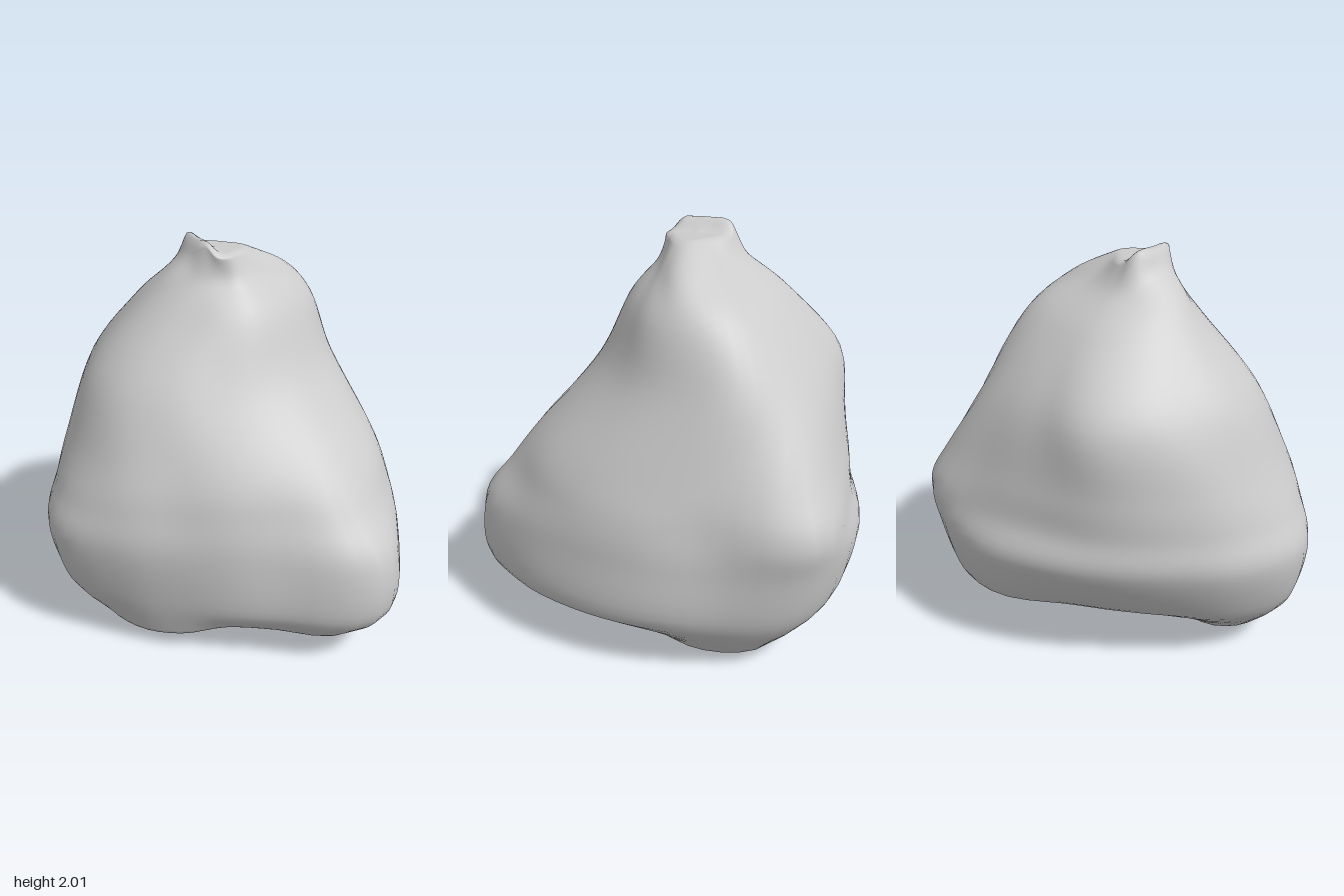
import * as THREE from 'three';

// Each level: [height, centre x, centre z] and 16 radii, turning from +x towards +z
const LEVELS = [
  [0.14, 0, 0], [0.3, 0, 0], [0.6, 0, 0], [0.8, 0, 0], [1.0, 0, -0.03],
  [1.35, 0.03, -0.18], [1.66, 0.06, -0.16], [1.82, 0.04, -0.1], [1.93, 0.01, -0.08],
];
const RADII = [
  [.72, .75, .83, .88, .66, .59, .60, .65, .68, .62, .52, .48, .52, .70, .87, .78],
  [.91, .92, .98, 1.04, .78, .67, .65, .73, .86, .78, .68, .66, .73, .95, 1.05, .95],
  [.91, .91, .96, 1.03, .77, .68, .68, .79, .93, .90, .84, .85, .92, 1.05, 1.13, .96],
  [.88, .87, .88, .88, .71, .65, .65, .76, .86, .86, .83, .84, .88, 1.00, 1.16, .93],
  [.81, .80, .80, .75, .65, .61, .62, .71, .77, .79, .79, .81, .83, .91, 1.03, .87],
  [.65, .63, .60, .58, .56, .56, .61, .66, .66, .63, .64, .65, .60, .62, .67, .69],
  [.50, .47, .41, .39, .39, .38, .38, .41, .44, .43, .42, .41, .38, .38, .42, .49],
  [.36, .28, .22, .20, .20, .19, .20, .23, .28, .28, .27, .25, .22, .21, .23, .31],
  [.17, .16, .14, .13, .15, .15, .13, .13, .13, .14, .16, .17, .16, .14, .13, .14],
];
// Height of the bottom rim at the same 16 directions
const RIM = [.15, .18, .17, .13, .15, .16, .10, .08, .09, .14, .26, .33, .34, .22, .08, .05];
const SIDES = 64, STEPS = 6;
const { smoothstep } = THREE.MathUtils;

// Catmull-Rom blend of four neighbouring values
const blend = (a, b, c, d, t) =>
  b + 0.5 * t * (c - a + t * (2 * a - 5 * b + 4 * c - d + t * (3 * (b - c) + d - a)));

// Smooth value along an open list
function along(get, n, t) {
  const i = Math.min(Math.floor(t), n - 2);
  const at = (k) => get(Math.max(0, Math.min(n - 1, k)));
  return blend(at(i - 1), at(i), at(i + 1), at(i + 2), t - i);
}

// Smooth value around a closed list of 16
function around(list, s) {
  const i = Math.floor(s);
  const at = (k) => list[(k + 16) % 16];
  return blend(at(i - 1), at(i), at(i + 1), at(i + 2), s - i);
}

// Thin fold that stands up beside the gathered top
const fold = (x, z) =>
  0.06 * Math.exp(-(((x + 0.08) / 0.045) ** 2)) * (1 - smoothstep(z, 0, 0.08));

// A ring of points on the body at level t
function bodyRing(t) {
  const n = LEVELS.length;
  const [cx, cz] = [1, 2].map((c) => along((k) => LEVELS[k][c], n, t));
  return Array.from({ length: SIDES }, (_, j) => {
    const s = (j / SIDES) * 16, a = (j / SIDES) * Math.PI * 2;
    const r = along((k) => around(RADII[k], s), n, t);
    const y = along((k) => (k === 0 ? around(RIM, s) : LEVELS[k][0]), n, t);
    const x = cx + r * Math.cos(a), z = cz + r * Math.sin(a);
    return [x, y + fold(x, z) * smoothstep(y, 1.82, 1.93), z];
  });
}

// Underside: a hollow at the back, an arch at the front left, two low feet
const bump = (x, z, cx, cz, w) => Math.exp(-((x - cx) ** 2 + (z - cz) ** 2) / (w * w));
const floorHeight = (x, z) => 0.1
  + 0.25 * bump(x, z, -0.1, -0.5, 0.38) + 0.09 * bump(x, z, 0.35, 0.35, 0.35)
  - 0.16 * bump(x, z, 0.56, -0.3, 0.3) - 0.05 * bump(x, z, -0.43, 0.2, 0.28);

function bodyGeometry() {
  const rings = [];
  const rim = bodyRing(0);
  // underside, from its middle out to the rim
  for (let i = 0; i < 10; i++) {
    const f = i / 10, mix = f ** 3;
    rings.push(rim.map(([x, y, z]) =>
      [x * f, floorHeight(x * f, z * f) * (1 - mix) + y * mix, z * f]));
  }
  const count = (LEVELS.length - 1) * STEPS;
  for (let i = 0; i <= count; i++) rings.push(bodyRing(i / STEPS));
  // gathered top
  const last = rings[rings.length - 1];
  for (const f of [0.85, 0.7, 0.5, 0.3, 0]) {
    rings.push(last.map(([lx, , lz]) => {
      const x = 0.01 + (lx - 0.01) * f, z = -0.08 + (lz + 0.08) * f;
      return [x, 1.94 + fold(x, z), z];
    }));
  }
  const index = [];
  for (let i = 0; i < rings.length - 1; i++) {
    for (let j = 0; j < SIDES; j++) {
      const a = i * SIDES + j, b = i * SIDES + (j + 1) % SIDES;
      index.push(a, a + SIDES, b, b, a + SIDES, b + SIDES);
    }
  }
  const geometry = new THREE.BufferGeometry();
  geometry.setAttribute('position', new THREE.Float32BufferAttribute(rings.flat(2), 3));
  geometry.setIndex(index);
  geometry.computeVertexNormals();
  return geometry;
}

export function createModel() {
  const group = new THREE.Group();
  const material = new THREE.MeshStandardMaterial({ color: 0xcccccc });
  const body = new THREE.Mesh(bodyGeometry(), material);
  body.name = 'body';
  group.add(body);
  return group;
}
